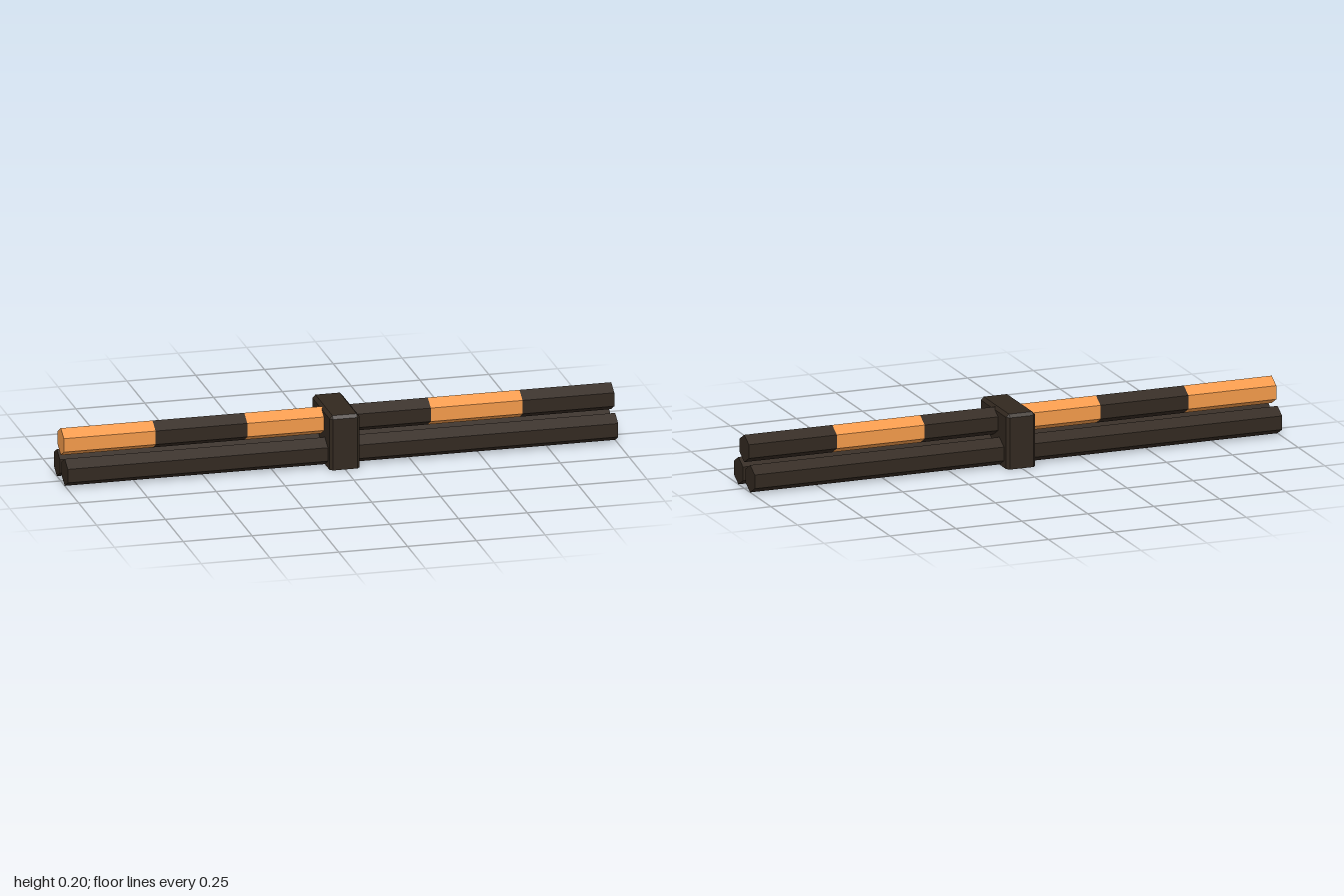
import * as THREE from 'three';
import { ConvexGeometry } from 'three/addons/geometries/ConvexGeometry.js';

export function createModel() {
  const model = new THREE.Group();
  model.name = 'bundledRods';
  const dark = new THREE.MeshStandardMaterial({ color: 0x32281f, flatShading: true });
  const orange = new THREE.MeshStandardMaterial({ color: 0xf2994a, flatShading: true });

  function add(name, geometry, material) {
    const mesh = new THREE.Mesh(geometry, material);
    mesh.name = name;
    model.add(mesh);
    return mesh;
  }

  // Hexagonal bar along x, with a corner pointing up
  function hexBar(name, x0, x1, y, z, material) {
    const geometry = new THREE.CylinderGeometry(0.05, 0.05, x1 - x0, 6);
    geometry.rotateY(Math.PI / 6).rotateZ(Math.PI / 2);
    add(name, geometry, material).position.set((x0 + x1) / 2, y, z);
  }

  // Two plain lower bars
  hexBar('lowerFrontBar', -1, 1, 0.05, 0.055, dark);
  hexBar('lowerBackBar', -1, 1, 0.05, -0.055, dark);

  // Upper bar in six alternating bands
  for (let i = 0; i < 6; i++) {
    hexBar('upperBarBand' + (i + 1), -1 + i / 3, -1 + (i + 1) / 3, 0.146, 0, i % 2 ? dark : orange);
  }

  // Clamp block: chamfered upright and top edges, flat underside
  const hx = 0.055, hz = 0.13, top = 0.2, c = 0.011;
  const points = [];
  for (const sx of [-1, 1]) {
    for (const sz of [-1, 1]) {
      for (const y of [0, top - c]) {
        points.push(new THREE.Vector3(sx * hx, y, sz * (hz - c)));
        points.push(new THREE.Vector3(sx * (hx - c), y, sz * hz));
      }
      points.push(new THREE.Vector3(sx * (hx - c), top, sz * (hz - c)));
    }
  }
  add('clampBlock', new ConvexGeometry(points), dark);

  return model;
}
